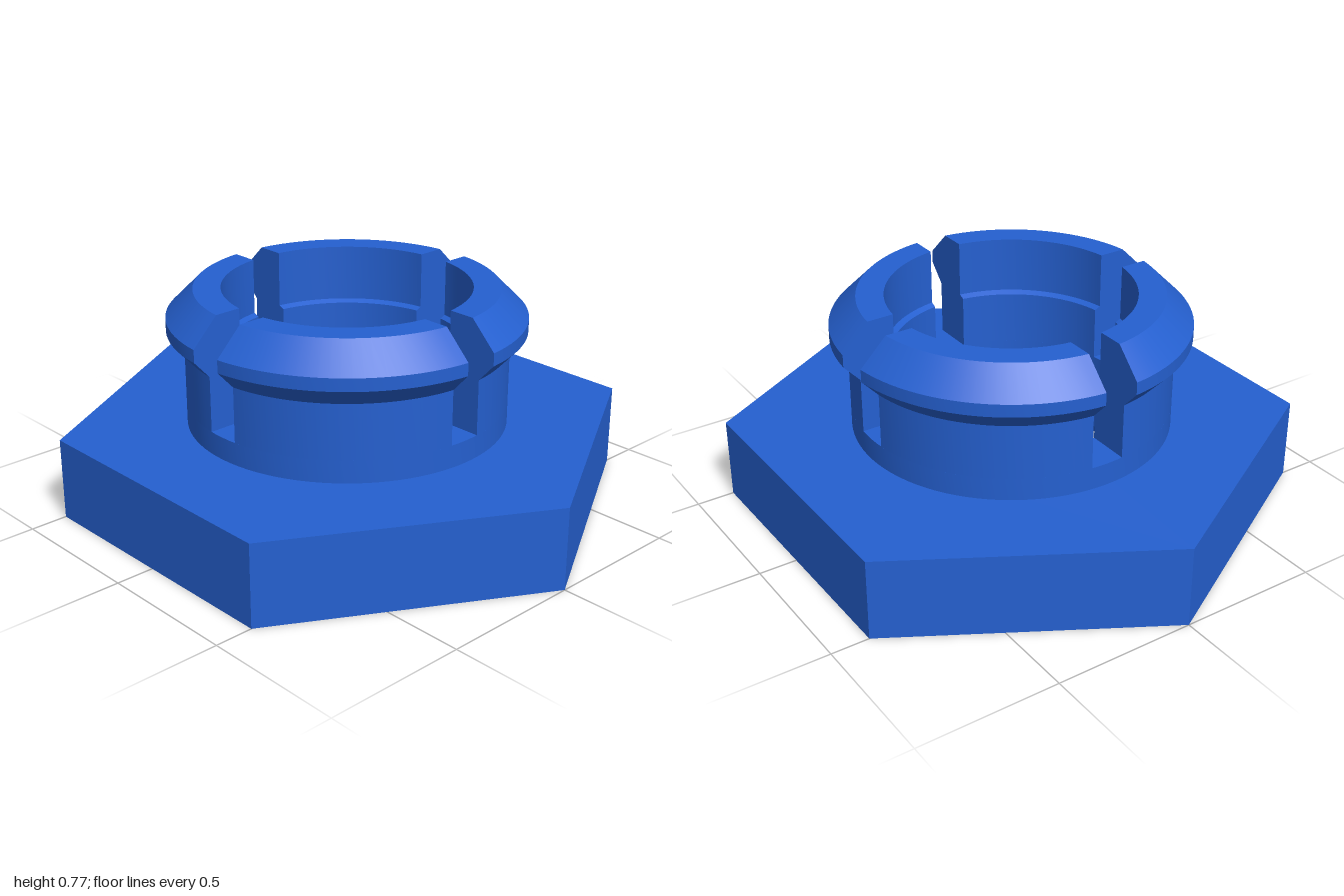
import * as THREE from 'three';
import { toCreasedNormals } from 'three/addons/utils/BufferGeometryUtils.js';

const HALF_SLOT = 0.06;
const SLOT_FLOOR = 0.37;
const BASE_TOP = 0.29;
const BORE = 0.41;
const NECK = 0.56;

const vectors = (list) => list.map(([x, y]) => new THREE.Vector2(x, y));

export function createModel() {
  const group = new THREE.Group();
  const blue = new THREE.MeshStandardMaterial({ color: 0x2560d0 });
  blue.name = 'blue';

  const add = (parent, name, geometry) => {
    const mesh = new THREE.Mesh(geometry, blue);
    mesh.name = name;
    parent.add(mesh);
    return mesh;
  };

  // Hexagonal flange with a round hole
  const hex = new THREE.Shape();
  for (let i = 0; i < 6; i++) {
    const a = (i * Math.PI) / 3;
    hex[i ? 'lineTo' : 'moveTo'](Math.cos(a), Math.sin(a));
  }
  hex.closePath();
  const hole = new THREE.Path();
  hole.absarc(0, 0, 0.485, 0, Math.PI * 2, true);
  hex.holes.push(hole);
  const flange = new THREE.ExtrudeGeometry(hex, { depth: BASE_TOP, bevelEnabled: false, curveSegments: 48 });
  flange.rotateX(-Math.PI / 2);
  add(group, 'hexFlange', flange);

  // Lower neck, slot floors and the bore with its chamfered mouth
  const neckProfile = vectors([
    [NECK, BASE_TOP], [NECK, SLOT_FLOOR], [BORE, SLOT_FLOOR], [BORE, 0.08], [0.485, 0],
  ]);
  add(group, 'neckAndBore', toCreasedNormals(new THREE.LatheGeometry(neckProfile, 96), 0.5));

  // Snap arm section: neck, barbed lip, and a slightly wider bore at the top
  const armProfile = vectors([
    [NECK, SLOT_FLOOR], [NECK, 0.565], [0.62, 0.63], [0.62, 0.675], [0.525, 0.77],
    [0.43, 0.77], [0.43, 0.57], [BORE, 0.56], [BORE, SLOT_FLOOR],
  ]);

  // Quarter revolution squeezed so both ends lie on parallel slot walls
  const armGeometry = new THREE.LatheGeometry(armProfile, 24, 0, Math.PI / 2);
  const pos = armGeometry.attributes.position;
  for (let i = 0; i < pos.count; i++) {
    const x = pos.getX(i), z = pos.getZ(i);
    const r = Math.hypot(x, z);
    const inset = Math.asin(HALF_SLOT / r);
    const t = Math.atan2(x, z) / (Math.PI / 2);
    const a = inset + t * (Math.PI / 2 - 2 * inset);
    pos.setX(i, r * Math.sin(a));
    pos.setZ(i, r * Math.cos(a));
  }
  const armSurface = toCreasedNormals(armGeometry, 0.5);

  // Flat slot walls closing the arm ends
  const wall = (sign) => new THREE.ShapeGeometry(new THREE.Shape(
    armProfile.map((p) => new THREE.Vector2(sign * Math.sqrt(p.x ** 2 - HALF_SLOT ** 2), p.y)),
  ));
  const wallA = wall(1).rotateY(-Math.PI / 2).translate(HALF_SLOT, 0, 0);
  const wallB = wall(-1).rotateY(Math.PI).translate(0, 0, HALF_SLOT);

  for (let i = 0; i < 4; i++) {
    const arm = new THREE.Group();
    arm.name = `snapArm${i + 1}`;
    add(arm, 'armSurface', armSurface);
    add(arm, 'slotWallA', wallA);
    add(arm, 'slotWallB', wallB);
    arm.rotation.y = (i * Math.PI) / 2;
    group.add(arm);
  }

  return group;
}
